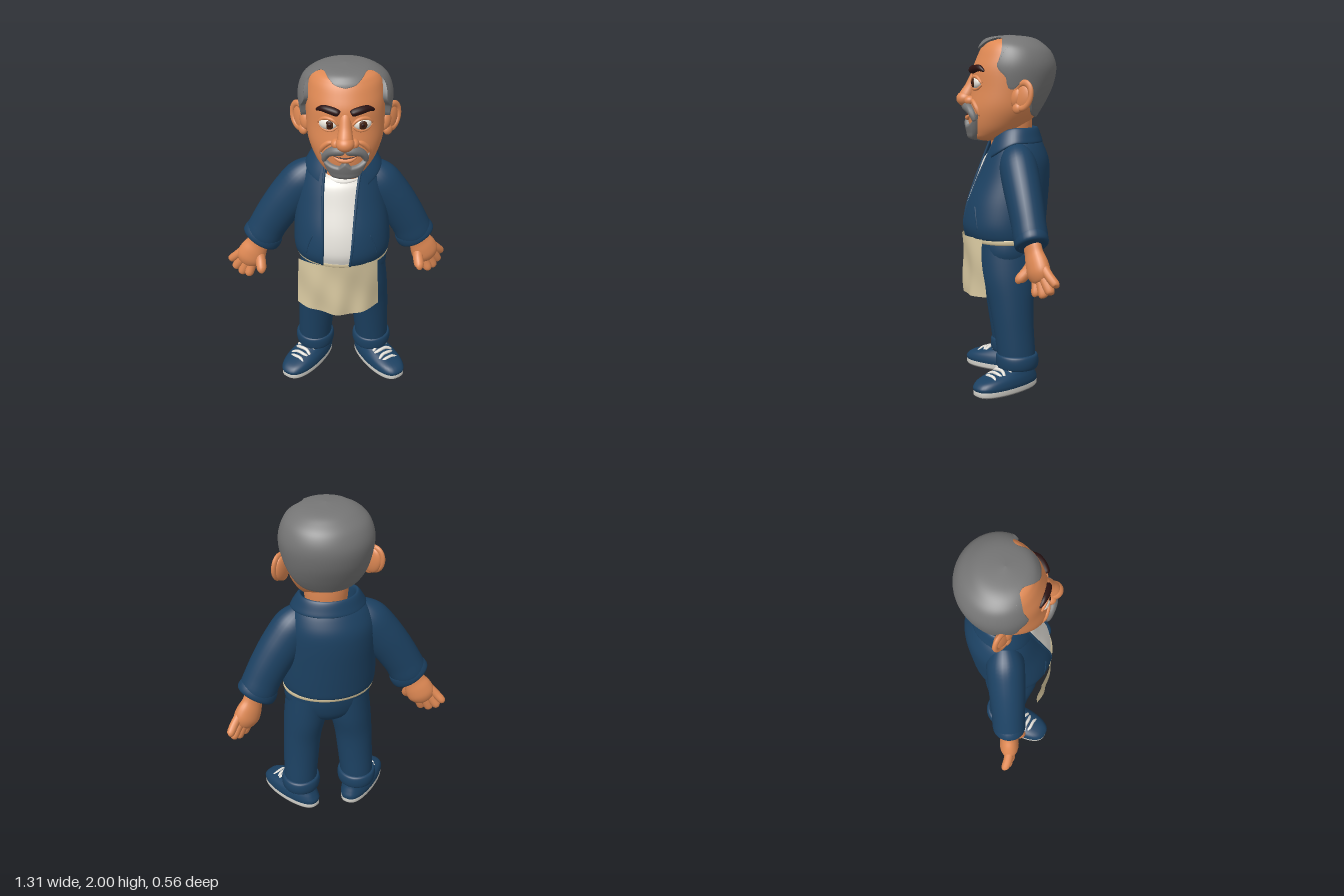
import * as THREE from 'three';

const mat = (name, color, side = THREE.FrontSide) => {
  const m = new THREE.MeshStandardMaterial({ color, side });
  m.name = name;
  return m;
};
const lerp = THREE.MathUtils.lerp;

// Smooth interpolation through rows of numbers, t in 0..1
function sample(rows, t) {
  const n = rows.length - 1, i = Math.min(n - 1, Math.floor(t * n)), f = t * n - i;
  const [a, b, c, d] = [-1, 0, 1, 2].map(k => rows[Math.max(0, Math.min(n, i + k))]);
  return b.map((_, k) => b[k] + 0.5 * f * (c[k] - a[k] + f * (2 * a[k] - 5 * b[k] + 4 * c[k] - d[k] + f * (3 * (b[k] - c[k]) + d[k] - a[k]))));
}
// Parameter at which the first entry (rising) equals key
function findT(rows, key) {
  let lo = 0, hi = 1;
  for (let i = 0; i < 24; i++) {
    const m = (lo + hi) / 2;
    if (sample(rows, m)[0] < key) lo = m; else hi = m;
  }
  return lo;
}
const at = (rows, key) => sample(rows, findT(rows, key));

// Grid surface from f(u, v); wrap joins the two u ends
function surface(f, nu, nv, wrap = true) {
  const pos = [], idx = [], w = wrap ? nu : nu + 1;
  for (let j = 0; j <= nv; j++) for (let i = 0; i < w; i++) pos.push(...f(i / nu, j / nv));
  for (let j = 0; j < nv; j++) for (let i = 0; i < nu; i++) {
    const a = j * w + i, b = j * w + (i + 1) % w;
    idx.push(a, b, b + w, a, b + w, a + w);
  }
  const g = new THREE.BufferGeometry();
  g.setAttribute('position', new THREE.Float32BufferAttribute(pos, 3));
  g.setIndex(idx);
  g.computeVertexNormals();
  return g;
}
// Point on an elliptical section [y, cx, cz, rx, rz]; a = 0 is the front
const ring = ([y, cx, cz, rx, rz], a, off = 0) =>
  [cx + Math.max(0, rx + off) * Math.sin(a), y, cz + Math.max(0, rz + off) * Math.cos(a)];
const loft = (rows, nv = 28, nu = 40) =>
  surface((u, v) => ring(sample(rows, v), u * Math.PI * 2), nu, nv);
// Limb along rows [x, y, z, r] with closed ends; flat is its depth over its width
function limb(rows, nv = 20, nu = 18, flat = 1) {
  const Z = new THREE.Vector3(0, 0, 1);
  return surface((u, v) => {
    const [x, y, z, r] = sample(rows, v);
    const p = sample(rows, Math.max(0, v - 0.02)), q = sample(rows, Math.min(1, v + 0.02));
    const T = new THREE.Vector3(q[0] - p[0], q[1] - p[1], q[2] - p[2]).normalize();
    const X = new THREE.Vector3().crossVectors(Z, T).normalize(), Y = new THREE.Vector3().crossVectors(T, X);
    const a = u * Math.PI * 2, k = (v === 0 || v === 1) ? 0 : Math.max(0.001, r);
    X.multiplyScalar(Math.cos(a) * k).addScaledVector(Y, Math.sin(a) * k * flat);
    return [x + X.x, y + X.y, z + X.z];
  }, nu, nv);
}

export function createModel() {
  const navy = mat('navy cloth', 0x1c4162, THREE.DoubleSide), skin = mat('skin', 0xdf8954);
  const grey = mat('grey hair', 0x757575, THREE.DoubleSide), dark = mat('dark brow', 0x2b1212);
  const tan = mat('apron cloth', 0xd8c8a0, THREE.DoubleSide), white = mat('white cotton', 0xe3e0d9);
  const rubber = mat('pale rubber', 0xcfcdc6), sole = mat('dark rubber', 0x8c8c8c);
  const eyeWhite = mat('eye white', 0xe9e4da), iris = mat('iris brown', 0x45200f);

  const root = new THREE.Group();
  const body = new THREE.Group();
  body.name = 'figure';
  body.rotation.y = -0.175;
  body.position.set(0.02, 0, 0.004);
  root.add(body);
  const add = (parent, name, geo, m, p = [0, 0, 0], s = [1, 1, 1], r = [0, 0, 0]) => {
    const o = new THREE.Mesh(geo, m);
    o.name = name;
    o.position.set(...p); o.scale.set(...s); o.rotation.set(...r);
    parent.add(o);
  };
  const group = (parent, name) => {
    const g = new THREE.Group();
    g.name = name;
    parent.add(g);
    return g;
  };
  const ball = new THREE.SphereGeometry(1, 28, 20);

  // Trousers
  add(body, 'hips', loft([[0.61, 0, -0.01, 0, 0], [0.63, 0, -0.01, 0.08, 0.085], [0.69, 0, -0.006, 0.2, 0.152],
    [0.77, 0, 0, 0.25, 0.186], [0.86, -0.003, 0, 0.252, 0.197], [0.9, -0.005, 0, 0.24, 0.19]]), navy);
  for (const s of [1, -1]) {
    add(body, 'trouserLeg', loft([[0.13, s * 0.175, -0.048, 0.095, 0.1], [0.2, s * 0.175, -0.045, 0.1, 0.108],
      [0.35, s * 0.166, -0.03, 0.106, 0.115], [0.5, s * 0.155, -0.017, 0.113, 0.128],
      [0.65, s * 0.133, -0.006, 0.126, 0.156], [0.82, s * 0.116, -0.002, 0.124, 0.168]]), navy);
    add(body, 'trouserCuff', loft([[0.12, s * 0.175, -0.05, 0.085, 0.09], [0.125, s * 0.175, -0.05, 0.108, 0.114],
      [0.16, s * 0.175, -0.05, 0.117, 0.122], [0.198, s * 0.175, -0.048, 0.112, 0.118],
      [0.207, s * 0.175, -0.047, 0.09, 0.1]]), navy);

    // Shoes: the upper bulges out as far as the sole
    const shoe = group(body, 'shoe');
    shoe.position.set(s * 0.22, 0, 0.02);
    shoe.rotation.y = s * 0.61;
    const outline = (a, rx, rz) => {
      const c = Math.cos(a), w = Math.sign(Math.sin(a)) * Math.abs(Math.sin(a)) ** 0.75;
      return [w * rx * (0.94 + 0.08 * c), c * rz];
    };
    const slab = (y0, y1, rx, rz) => surface((u, v) => {
      const k = [0, 0.97, 1, 1, 0.97, 0][Math.round(v * 5)], [x, z] = outline(u * Math.PI * 2, rx * k, rz * k);
      return [x, v < 0.3 ? y0 : v > 0.7 ? y1 : v < 0.5 ? y0 + 0.006 : y1 - 0.006, z];
    }, 44, 5);
    add(shoe, 'outsole', slab(0, 0.012, 0.095, 0.208), sole);
    add(shoe, 'midsole', slab(0.006, 0.04, 0.099, 0.214), rubber);
    const upper = [[0.034, 0, 0, 0.098, 0.212], [0.055, 0, 0, 0.101, 0.215], [0.083, 0, -0.01, 0.095, 0.194],
      [0.108, 0, -0.045, 0.08, 0.148], [0.13, 0, -0.08, 0.068, 0.105], [0.17, 0, -0.085, 0.065, 0.08]];
    add(shoe, 'shoeUpper', surface((u, v) => {
      const [y, , cz, rx, rz] = sample(upper, v), [x, z] = outline(u * Math.PI * 2, rx, rz);
      return [x, y, cz + z];
    }, 44, 28), navy);
    for (let i = 0; i < 4; i++) {
      const z = 0.112 - i * 0.032, y = 0.094 + i * 0.012, t = i % 2 ? 0.012 : -0.012;
      add(shoe, 'lace', limb([[-0.06, y - 0.014, z + t, 0.009], [-0.025, y + 0.008, z, 0.01],
        [0.025, y + 0.008, z, 0.01], [0.06, y - 0.014, z - t, 0.009]], 12, 8), white);
    }
  }

  // Shirt and open jacket
  const coat = [[0.862, -0.008, 0.004, 0.25, 0.212], [0.872, -0.008, 0.006, 0.268, 0.23], [0.94, -0.008, 0.01, 0.276, 0.242],
    [1.06, -0.01, -0.006, 0.27, 0.237], [1.2, -0.014, -0.038, 0.258, 0.215], [1.3, -0.014, -0.055, 0.245, 0.194],
    [1.38, -0.01, -0.055, 0.215, 0.165], [1.44, -0.004, -0.048, 0.17, 0.14], [1.47, 0, -0.045, 0.155, 0.13]];
  // Side limits of the opening, which leans and widens towards the neck
  const opening = (row, s) => {
    const k = (row[0] - 0.86) / 0.6;
    return Math.asin(THREE.MathUtils.clamp((lerp(-0.032, 0.008, k) + s * lerp(0.08, 0.104, k)) / row[3], -0.85, 0.85));
  };
  add(body, 'jacket', surface((u, v) => {
    const row = sample(coat, v);
    return ring(row, lerp(opening(row, 1), Math.PI * 2 + opening(row, -1), u));
  }, 60, 36, false), navy);
  const shirt = coat.slice(1, 6).map(r => [r[0], r[1], r[2], r[3] - 0.014, r[4] - 0.014]);
  add(body, 'shirt', loft([...shirt, [1.335, -0.008, -0.05, 0.19, 0.15], [1.36, 0, -0.035, 0.12, 0.12]]), white);
  add(body, 'shirtNeckband', new THREE.TorusGeometry(0.122, 0.011, 10, 40), white, [0, 1.364, -0.028], [1, 1, 1], [Math.PI / 2 + 0.22, 0, 0]);
  for (const s of [1, -1]) {
    const edge = [0.01, 0.15, 0.3, 0.45, 0.6, 0.75, 0.9].map(t => {
      const row = sample(coat, t);
      return [...ring(row, opening(row, s), -0.004), 0.008];
    });
    add(body, 'jacketEdge', limb(edge, 28, 10), navy);
    const pocket = [[0.16, 1.05], [0.185, 0.99], [0.2, 0.92]].map(([x, y]) => {
      const r = at(coat, y);
      return [...ring(r, s * Math.asin(x / r[3])), 0.004];
    });
    add(body, 'pocketWelt', limb(pocket, 12, 8), navy);
  }
  // Fold-down collar: a leaf that gets longer at the front, the fold, then the inner stand
  add(body, 'collar', surface((u, v) => {
    const a = lerp(0.66, Math.PI * 2 - 0.66, u), front = Math.max(0, Math.cos(a)) ** 1.5;
    const flare = 0.048 + 0.014 * Math.max(0, Math.cos(a) + 0.5);
    const [y, o] = sample([[1.4 - 0.07 * front, flare - 0.012], [1.405 - 0.06 * front, flare], [1.435 - 0.03 * front, flare * 0.75], [1.472, 0.019],
      [1.486, 0.004], [1.468, -0.008], [1.4, -0.01]], v);
    return [Math.sin(a) * (0.158 + o), y - 0.045 * front, -0.045 + Math.cos(a) * (0.13 + o * 0.75)];
  }, 48, 24, false), navy);

  // Apron with soft folds, and its waist tie
  add(body, 'apron', surface((u, v) => {
    const x = u * 2 - 1, d = 1 - v;
    const fold = 0.008 * Math.sin(x * 9 + d * 2) * d + 0.005 * Math.sin(x * 4 - d * 6);
    const low = 0.528 + 0.018 * x * x - 0.008 * x;
    return [x * (0.226 + 0.012 * d) - 0.03, lerp(low, 0.872, v), 0.25 - 0.095 * x * x - 0.014 * d + fold];
  }, 40, 20, false), tan);
  add(body, 'apronTie', loft([[0.838, -0.005, 0, 0.24, 0.185], [0.841, -0.005, 0, 0.262, 0.208], [0.868, -0.005, 0, 0.264, 0.212],
    [0.871, -0.005, 0, 0.24, 0.19]], 12, 48), tan);

  // Arms and hands; each side has its own pose
  for (const [s, S, W, yaw] of [[1, [0.185, 1.28, -0.05], [0.435, 0.872, -0.1], 0.45], [-1, [-0.215, 1.28, -0.05], [-0.492, 0.872, -0.058], -0.1]]) {
    const p = (t, r, b = 0) => [lerp(S[0], W[0], t) + s * b, lerp(S[1], W[1], t) + b * 0.5, lerp(S[2], W[2], t), r];
    add(body, 'sleeve', limb([p(-0.3, 0.04), p(-0.18, 0.085), p(0, 0.12, 0.006), p(0.25, 0.122, 0.014), p(0.5, 0.116, 0.017), p(0.75, 0.11, 0.012),
      p(0.95, 0.106), p(0.99, 0.06)], 32, 28, 0.86), navy);
    add(body, 'sleeveCuff', limb([p(0.84, 0.085), p(0.855, 0.108), p(0.92, 0.118), p(0.99, 0.115), p(1.015, 0.09), p(1.0, 0.05)], 24, 28, 0.79), navy);
    const hand = group(body, 'hand');
    hand.position.set(...W);
    hand.rotation.y = yaw;
    const finger = (name, x0, y0, x1, y1, z, r) => add(hand, name, limb([[s * x0, y0, 0, r * 0.9], [s * lerp(x0, x1, 0.12), lerp(y0, y1, 0.12), 0, r],
      [s * lerp(x0, x1, 0.55), lerp(y0, y1, 0.55), z * 0.4, r], [s * lerp(x0, x1, 0.9), lerp(y0, y1, 0.9), z, r * 0.9], [s * x1, y1, z, r * 0.4]], 14, 14), skin);
    add(hand, 'palm', limb([[-s * 0.01, 0.05, 0, 0.05], [0, 0.01, 0, 0.062], [s * 0.02, -0.04, 0, 0.066], [s * 0.045, -0.09, 0, 0.08],
      [s * 0.068, -0.14, 0, 0.082], [s * 0.085, -0.18, 0, 0.055], [s * 0.088, -0.185, 0, 0.02]], 28, 24, 0.66), skin);
    finger('indexFinger', 0.04, -0.12, 0.08, -0.258, 0.022, 0.029);
    finger('middleFinger', 0.065, -0.12, 0.127, -0.26, 0.006, 0.029);
    finger('ringFinger', 0.085, -0.11, 0.17, -0.235, -0.01, 0.028);
    finger('littleFinger', 0.1, -0.085, 0.2, -0.19, -0.025, 0.025);
    finger('thumb', 0.02, -0.06, -0.016, -0.192, 0.07, 0.031);
  }

  // Head
  const head = group(body, 'head');
  head.position.x = 0.01;
  add(head, 'neck', loft([[1.33, 0, -0.035, 0.13, 0.125], [1.4, 0, -0.03, 0.118, 0.115], [1.5, 0, -0.025, 0.125, 0.125], [1.58, 0, -0.02, 0.13, 0.13]]), skin);
  const skull = [[1.405, 0, 0.1, 0, 0], [1.42, 0, 0.1, 0.085, 0.085], [1.46, 0, 0.066, 0.138, 0.137], [1.52, 0, 0.037, 0.176, 0.177],
    [1.6, 0, 0.008, 0.205, 0.207], [1.7, 0, -0.004, 0.213, 0.201], [1.8, 0, -0.01, 0.214, 0.2], [1.87, 0, -0.022, 0.208, 0.187],
    [1.93, 0, -0.03, 0.19, 0.166], [1.965, 0, -0.03, 0.14, 0.13], [1.985, 0, -0.03, 0, 0]];
  add(head, 'face', loft(skull, 44, 48), skin);
  const faceZ = (x, y) => { const r = at(skull, y); return r[2] + r[4] * Math.sqrt(Math.max(0, 1 - (x / r[3]) ** 2)); };
  const stroke = (name, pts, m, lift = 0) => add(head, name, limb(pts.map(([x, y, r]) => [x, y, faceZ(x, y) + lift, r]), 20, 12), m);

  // Hair shell: hairline rows are [angle at the crown, edge height, angle at the edge]
  const hairRows = [[1.53, 0, -0.025, 0.175, 0.14], [1.62, 0, -0.04, 0.222, 0.18], [1.72, 0, -0.045, 0.248, 0.222], [1.82, 0, -0.05, 0.258, 0.235],
    [1.9, 0, -0.048, 0.238, 0.212], [1.95, 0, -0.034, 0.198, 0.178], [1.985, 0, -0.025, 0.125, 0.122], [2.0, 0, -0.02, 0, 0]];
  const hairline = [[0, 1.924, 0], [12, 1.936, 14], [22, 1.958, 26], [32, 1.976, 42], [42, 1.98, 60], [52, 1.962, 74], [60, 1.925, 74],
    [67, 1.88, 65], [74, 1.835, 59], [81, 1.8, 63], [87, 1.765, 72], [92, 1.71, 75], [98, 1.7, 84], [104, 1.735, 94], [112, 1.7, 105],
    [120, 1.63, 116], [132, 1.57, 130], [150, 1.55, 150], [180, 1.54, 180]];
  add(head, 'hair', surface((u, v) => {
    const side = u > 0.5 ? -1 : 1, deg = 180 - Math.abs(180 - u * 360);
    const [, y, az] = at(hairline, deg), w = Math.max(0, (v - 0.1) / 0.9), roll = Math.max(0, 1 - v / 0.1);
    const a = side * THREE.MathUtils.degToRad(lerp(az, deg, w ** 0.7));
    return ring(sample(hairRows, lerp(findT(hairRows, y), 1, w)), a, -0.045 * roll * roll);
  }, 144, 40), grey);

  // Goatee wrapped around the chin
  add(head, 'goatee', surface((u, v) => {
    const x = Math.abs(u * 2 - 1), top = 1.505 + 0.085 * x ** 4 + 0.035 * Math.max(0, 1 - x * 4);
    const edge = Math.min(1, (1 - x) * 5, (1 - v) * 6);
    return ring(at(skull, lerp(1.408, top, v)), (u * 2 - 1) * 0.75, -0.008 + 0.03 * Math.sqrt(Math.max(0, edge)));
  }, 40, 20, false), grey);
  stroke('mouthLine', [[-0.07, 1.569, 0.002], [-0.04, 1.556, 0.003], [0, 1.552, 0.004], [0.04, 1.556, 0.003], [0.07, 1.569, 0.002]], dark, 0.004);
  stroke('lowerLip', [[-0.06, 1.556, 0.006], [-0.03, 1.541, 0.013], [0, 1.538, 0.014], [0.03, 1.541, 0.013], [0.06, 1.556, 0.006]], skin, 0.002);

  // Nose
  add(head, 'noseBridge', limb([[0, 1.81, 0.16, 0.015], [0, 1.77, 0.172, 0.03], [0, 1.71, 0.196, 0.036], [0, 1.65, 0.226, 0.043], [0, 1.63, 0.226, 0.02]]), skin);
  add(head, 'noseTip', ball, skin, [0, 1.645, 0.23], [0.05, 0.043, 0.05]);

  for (const s of [1, -1]) {
    add(head, 'nostril', ball, skin, [s * 0.045, 1.634, 0.204], [0.03, 0.028, 0.034]);
    stroke('cheekFold', [[s * 0.055, 1.64, 0.006], [s * 0.09, 1.628, 0.014], [s * 0.122, 1.592, 0.014], [s * 0.134, 1.55, 0.006]], skin, -0.003);
    stroke('moustache', [[0, 1.598, 0.014], [s * 0.012, 1.6, 0.024], [s * 0.05, 1.598, 0.027], [s * 0.088, 1.58, 0.022], [s * 0.108, 1.548, 0.018], [s * 0.112, 1.52, 0.012]], grey, 0.01);
    add(head, 'eye', ball, eyeWhite, [s * 0.09, 1.733, faceZ(0.09, 1.733) - 0.006], [0.05, 0.033, 0.026], [0, s * 0.3, 0]);
    add(head, 'iris', ball, iris, [s * 0.088 + 0.005, 1.734, faceZ(0.09, 1.733) + 0.015], [0.023, 0.025, 0.008], [0, s * 0.2, 0]);
    add(head, 'pupil', ball, dark, [s * 0.088 + 0.005, 1.734, faceZ(0.09, 1.733) + 0.02], [0.011, 0.012, 0.005], [0, s * 0.2, 0]);
    stroke('upperLid', [[s * 0.036, 1.732, 0.006], [s * 0.06, 1.759, 0.009], [s * 0.09, 1.768, 0.01], [s * 0.12, 1.759, 0.01], [s * 0.146, 1.73, 0.006]], skin, 0.005);
    stroke('lowerLid', [[s * 0.04, 1.724, 0.004], [s * 0.065, 1.704, 0.007], [s * 0.09, 1.698, 0.008], [s * 0.12, 1.704, 0.007], [s * 0.144, 1.724, 0.004]], skin, 0.002);
    stroke('eyebrow', [[s * 0.03, 1.798, 0.012], [s * 0.042, 1.803, 0.02], [s * 0.08, 1.812, 0.021], [s * 0.12, 1.814, 0.017], [s * 0.154, 1.796, 0.006]], dark, 0.003);

    // Ear: bowl, rim and lobe, facing forwards and outwards
    const ear = group(head, 'ear');
    ear.position.set(s * 0.246, 1.658, -0.065);
    ear.rotation.set(-0.1, s * 0.8, s * -0.16);
    add(ear, 'earBowl', ball, skin, [0, 0, -0.004], [0.058, 0.08, 0.024]);
    add(ear, 'earRim', new THREE.TorusGeometry(0.046, 0.013, 10, 32), skin, [s * 0.007, 0.01, 0.006], [1.15, 1.5, 1]);
    add(ear, 'earLobe', ball, skin, [-s * 0.012, -0.066, 0.004], [0.03, 0.03, 0.02]);
    add(ear, 'earRoot', ball, skin, [-s * 0.035, -0.01, -0.004], [0.035, 0.06, 0.03]);
  }
  return root;
}
